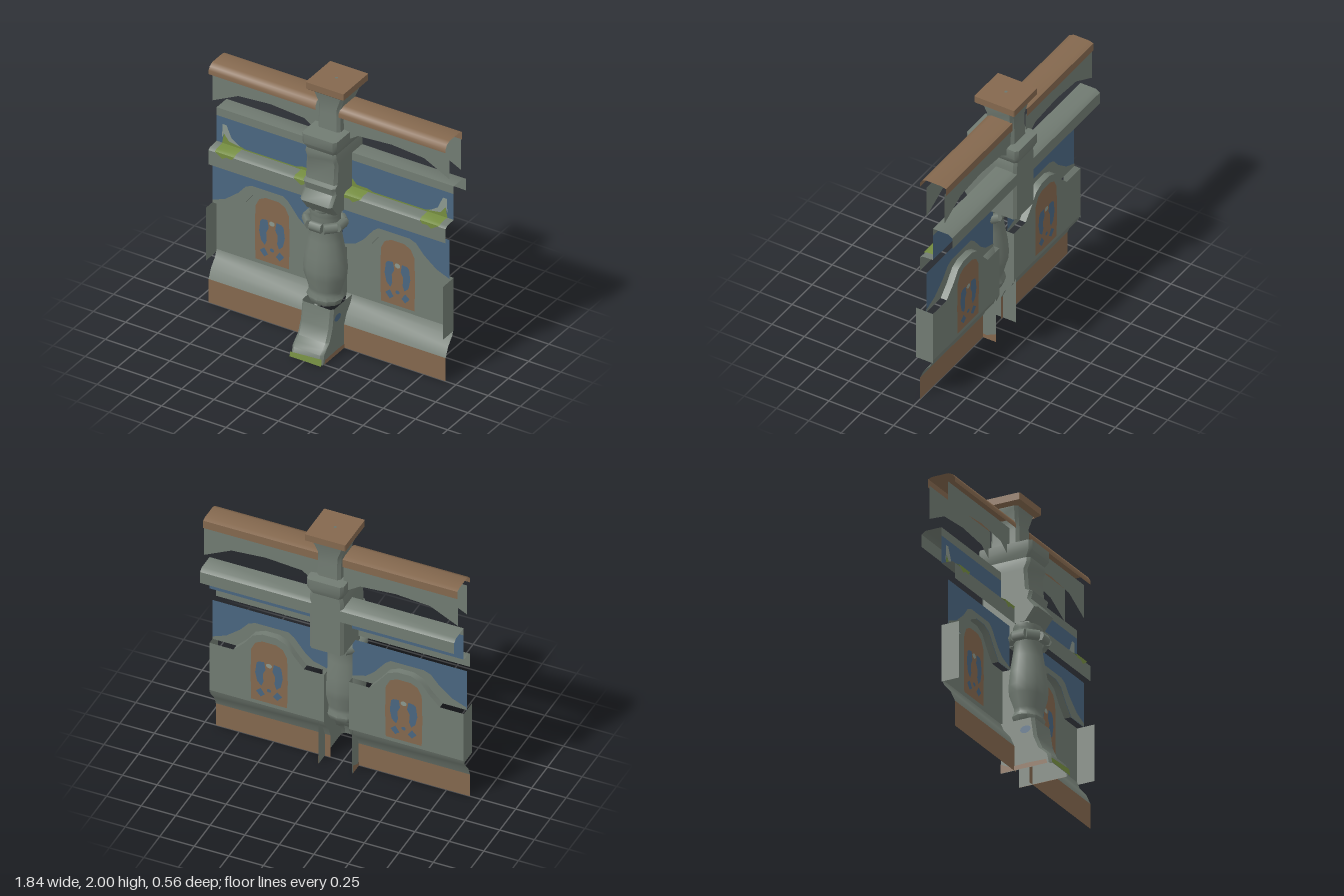
import * as THREE from 'three';
import { toCreasedNormals } from 'three/addons/utils/BufferGeometryUtils.js';

const paint = (name, color) => {
  const m = new THREE.MeshStandardMaterial({ color, side: THREE.DoubleSide });
  m.name = name;
  return m;
};

export function createModel() {
  const model = new THREE.Group();
  model.name = 'balustradeSection';
  const stone = paint('greyStone', 0x717b72);
  const wood = paint('brownTrim', 0x84684e);
  const blue = paint('bluePlaster', 0x4a6680);
  const moss = paint('greenMoss', 0x748c40);
  const pale = paint('paleVine', 0x8b988e);

  function add(name, geometry, material) {
    const mesh = new THREE.Mesh(geometry, material);
    mesh.name = name;
    model.add(mesh);
    return mesh;
  }

  // Surface through rows of [x, y, z] points
  function grid(rows, crease = 0.7) {
    const n = rows[0].length, index = [];
    for (let r = 0; r < rows.length - 1; r++) {
      for (let i = 0; i < n - 1; i++) {
        const a = r * n + i, b = a + 1, c = a + n, d = c + 1;
        index.push(a, b, d, a, d, c);
      }
    }
    const g = new THREE.BufferGeometry();
    g.setAttribute('position', new THREE.Float32BufferAttribute(rows.flat(2), 3));
    g.setIndex(index);
    return toCreasedNormals(g, crease);
  }

  // Sheet with a [z, y] profile running along x
  const sheet = (profile, x0, x1) =>
    grid([x1, x0].map(x => profile.map(([z, y]) => [x, y, z])));

  // Stack of chamfered rectangles: [y, x0, x1, zBack, zFront]
  const stack = (levels, c = 0.02) => grid(levels.map(([y, x0, x1, b, f]) => [
    [x0 + c, y, b], [x0, y, b + c], [x0, y, f - c], [x0 + c, y, f], [x1 - c, y, f],
    [x1, y, f - c], [x1, y, b + c], [x1 - c, y, b], [x0 + c, y, b]]));

  // Flat shape facing z
  const flat = pts => new THREE.ShapeGeometry(new THREE.Shape(pts.map(p => new THREE.Vector2(p[0], p[1]))));
  const plate = (name, pts, z, material) => add(name, flat(pts).translate(0, 0, z), material);
  // Painted detail seen on both faces of a thin wall
  function painted(name, pts, z, material, lift = 0.003) {
    for (const d of [-lift, lift]) plate(name, pts, z + d, material);
  }
  // Flat shape given in [z, y], facing x
  const sidePlate = (name, pts, x, material) =>
    add(name, flat(pts).rotateY(-Math.PI / 2).translate(x, 0, 0), material);
  const oval = (cx, cy, rx, ry, n = 12) => Array.from({ length: n }, (_, i) => {
    const a = i / n * Math.PI * 2;
    return [cx + rx * Math.cos(a), cy + ry * Math.sin(a)];
  });

  // Everything on one side of the post, mirrored by s
  const C = 0.487, IN = 0.09, OUT = 0.92;
  const arch = [[-0.25, 0.75], [-0.18, 0.83], [-0.12, 0.91], [-0.05, 0.94],
    [0.05, 0.94], [0.12, 0.91], [0.18, 0.83], [0.26, 0.75]].map(([x, y]) => [C + x, y]);
  const hood = [[OUT, 0.77], [0.82, 0.81], [0.72, 0.89], [0.66, 0.96], [0.61, 0.98],
    [0.37, 0.98], [0.33, 0.95], [0.25, 0.85], [0.19, 0.8], [IN, 0.77]];
  for (const s of [-1, 1]) {
    const m = pts => pts.map(([x, y]) => [x * s, y]);
    const run = (name, profile, material) =>
      add(name, sheet(profile, Math.min(IN * s, OUT * s), Math.max(IN * s, OUT * s)), material);

    // Lower wall with flared skirt
    run('skirtBoard', [[0, 0], [0, 0.18]], wood);
    run('skirtSlope', [[0, 0.18], [-0.03, 0.25], [-0.08, 0.31], [-0.1, 0.36]], stone);
    plate('nicheWall', m([[IN, 0.36], [IN, 0.75], ...arch, [OUT, 0.75], [OUT, 0.36]]), -0.1, stone);
    add('nicheReveal', grid([-0.1, -0.05].map(z => arch.map(([x, y]) => [x * s, y, z]))), stone);
    for (const x of [IN, OUT]) {
      sidePlate('wallReturn', [[-0.1, 0.34], [0.03, 0.34], [0.03, 0.75], [-0.1, 0.75]], x * s, stone);
    }

    // Blue band with the grey hood around the niche
    plate('blueBand', m([[IN, 0.75], ...arch, [OUT, 0.75], [OUT, 1.07], [IN, 1.07]]), -0.05, blue);
    painted('nicheHood', m([[IN, 0.75], ...arch, [OUT, 0.75], ...hood]), -0.05, stone);

    // Painted arched door
    painted('doorPanel', m([[-0.13, 0.39], [0.13, 0.39], [0.135, 0.6], [0.13, 0.8], [0.1, 0.86],
      [0.05, 0.885], [-0.05, 0.885], [-0.1, 0.86], [-0.13, 0.8], [-0.135, 0.6]]
      .map(([x, y]) => [C + x, y])), -0.1, wood);
    for (const k of [-1, 1]) {
      painted('doorLeaf', m([[0.025, 0.66], [0.035, 0.72], [0.075, 0.715], [0.09, 0.7], [0.1, 0.62],
        [0.085, 0.55], [0.055, 0.52], [0.04, 0.56], [0.045, 0.62]]
        .map(([x, y]) => [C + x * k, y])), -0.1, blue, 0.006);
      painted('doorDiamond', m([[0.03, 0.455], [0.06, 0.5], [0.095, 0.47], [0.06, 0.43]]
        .map(([x, y]) => [C + x * k, y])), -0.1, blue, 0.006);
    }
    painted('doorDot', m(oval(C, 0.495, 0.016, 0.014)), -0.1, blue, 0.006);
    painted('doorKeystone', m(oval(C, 0.7, 0.022, 0.018)), -0.1, pale, 0.006);

    // Middle rail: sill, blue recess and hooked top
    run('middleSill', [[0, 1.07], [0, 1.18], [-0.02, 1.195], [-0.1, 1.2]], stone);
    run('blueRecess', [[-0.1, 1.2], [-0.1, 1.4]], blue);
    run('middleRailTop', [[-0.1, 1.4], [-0.1, 1.46], [-0.22, 1.46], [-0.25, 1.44], [-0.25, 1.35]], stone);
    plate('mossStrip', m([[IN, 1.2], [IN, 1.29], [0.13, 1.27], [0.17, 1.225], [0.25, 1.225], [0.3, 1.21],
      [0.7, 1.21], [0.75, 1.225], [0.82, 1.23], [0.86, 1.28], [0.875, 1.2]]), -0.095, moss);
    plate('vine', m([[0.73, 1.215], [0.8, 1.26], [0.84, 1.35], [0.87, 1.35], [0.875, 1.24],
      [0.86, 1.28], [0.82, 1.23]]), -0.094, pale);
    for (const [a, b] of [[0.11, 0.26], [0.72, 0.87]]) {
      plate('mossDrip', m([[a, 1.19], [a + 0.02, 1.165], [a + 0.06, 1.17], [a + 0.09, 1.15],
        [b - 0.03, 1.17], [b, 1.19]]), 0.004, moss);
      add('mossLedge', grid([[[a * s, 1.203, -0.095], [b * s, 1.203, -0.095]],
        [[a * s, 1.199, -0.02], [b * s, 1.199, -0.02]], [[a * s, 1.186, 0.003], [b * s, 1.186, 0.003]]]), moss);
    }

    // Handrail and its two arched aprons
    run('handrail', [[0, 1.77], [0, 1.8], [-0.015, 1.825], [-0.05, 1.84], [-0.17, 1.84],
      [-0.2, 1.83], [-0.2, 1.77]], wood);
    for (const z of [-0.05, -0.19]) {
      plate('handrailApron', m([[IN, 1.78], [IN, 1.56], [0.12, 1.58], [0.21, 1.64], [0.47, 1.66],
        [0.72, 1.64], [OUT, 1.54], [OUT, 1.78]]), z, stone);
    }
  }

  // Post foot, open at the back
  const L = -0.113, R = 0.132, MID = 0.01;
  const toe = [[0, 0.28], [0.07, 0.265], [0.1, 0.235], [0.13, 0.2], [0.22, 0.163], [0.36, 0.143]];
  add('postFoot', grid(toe.map(([y, f]) => [[L, y, -0.1], [L, y, f - 0.02], [L + 0.02, y, f],
    [R - 0.02, y, f], [R, y, f - 0.02], [R, y, -0.1]])), stone);
  add('footMoss', grid([[[L, 0, 0.284], [R, 0, 0.284]], [[L, 0.035, 0.278], [R, 0.05, 0.276]]]), moss);
  for (const x of [L - 0.004, R + 0.004]) {
    sidePlate('footStain', [[-0.1, 0], [0.25, 0], [0.24, 0.03], [0.1, 0.035], [-0.03, 0.03],
      [-0.07, 0.05], [-0.1, 0.065]], x, wood);
    sidePlate('footSpot', oval(0.085, 0.28, 0.04, 0.027), x, blue);
  }

  // Turned baluster
  const turned = [[0.1, 0.35], [0.118, 0.36], [0.132, 0.4], [0.115, 0.43], [0.118, 0.46], [0.15, 0.56],
    [0.155, 0.62], [0.145, 0.72], [0.122, 0.84], [0.105, 0.94], [0.115, 0.97], [0.105, 1.02],
    [0.112, 1.04], [0.112, 1.07]].map(p => new THREE.Vector2(...p));
  const lathe = new THREE.LatheGeometry(turned, 12);
  lathe.scale(1, 1, 0.83);
  add('baluster', toCreasedNormals(lathe, 0.8), stone).position.set(MID, 0, 0.035);

  // Ring of rounded lobes near the top of the baluster
  for (let i = 0; i < 8; i++) {
    const a = i / 8 * Math.PI * 2;
    const lobe = add('collarLobe', new THREE.CylinderGeometry(0.03, 0.03, 0.09, 6), stone);
    lobe.geometry.rotateZ(Math.PI / 2).scale(1, 1.2, 1);
    lobe.position.set(MID + Math.sin(a) * 0.125, 0.975, 0.04 + Math.cos(a) * 0.11);
    lobe.rotation.y = a;
  }

  // Upper post block, hollow below, with projecting nose and collar
  add('postBlock', stack([[1.07, L, R, -0.25, 0.1], [1.16, L, R, -0.25, 0.168], [1.23, L, R, -0.25, 0.115],
    [1.285, L, R, -0.25, 0.13], [1.3, L, R, -0.25, 0.1], [1.45, L, R, -0.25, 0.088],
    [1.5, L, R, -0.25, 0.11], [1.54, L + 0.01, R - 0.01, -0.25, 0.105]]), stone);
  add('postCollar', stack([[1.53, L + 0.01, R - 0.01, -0.25, 0.1], [1.58, -0.122, 0.145, -0.272, 0.13],
    [1.65, -0.122, 0.145, -0.272, 0.13], [1.655, -0.075, 0.1, -0.21, 0.01]]), stone);
  add('postNeck', stack([[1.65, -0.075, 0.1, -0.21, 0.01], [1.77, -0.072, 0.095, -0.205, 0.005],
    [1.83, -0.075, 0.097, -0.205, 0.003], [1.92, -0.108, 0.13, -0.22, 0.015],
    [1.94, -0.108, 0.13, -0.225, 0.02]]), stone);

  // Square cap
  add('postCap', stack([[1.925, -0.105, 0.13, -0.225, 0.02], [1.95, -0.135, 0.16, -0.255, 0.052],
    [2, -0.135, 0.16, -0.255, 0.052], [2, 0, 0.02, -0.11, -0.09]], 0.005), wood);
  return model;
}
